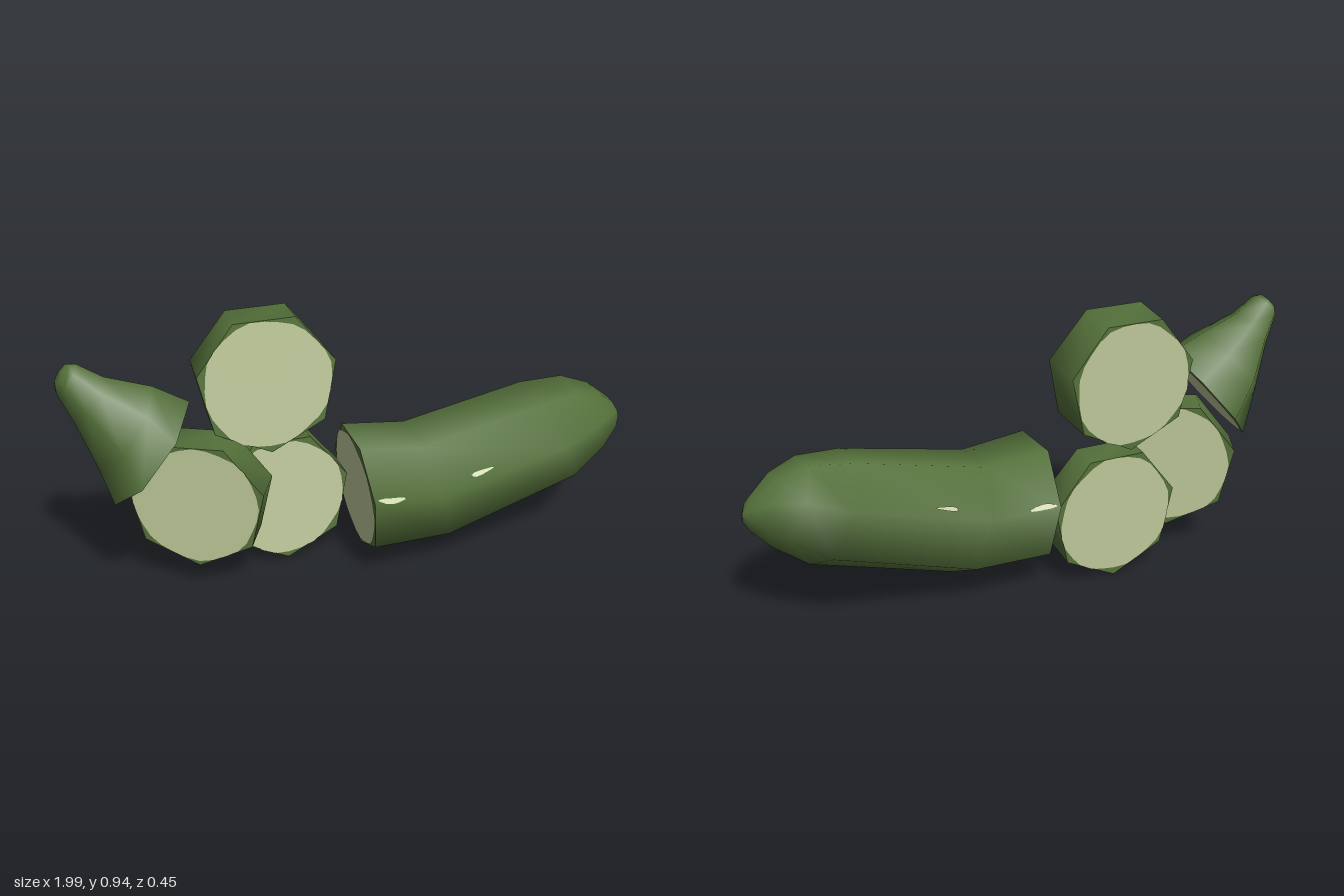
import * as THREE from 'three';

const SIDES = 7;
const V = (x, y, z) => new THREE.Vector3(x, y, z);

// One cross-section: centre, axis direction, radius and phase of its first corner (degrees)
function ring(c, n, r, phase = -90) {
  const axis = V(...n).normalize();
  const up = V(0, 1, 0).addScaledVector(axis, -axis.y).normalize();
  const side = axis.clone().cross(up);
  return { c: V(...c), axis, up, side, r, phase: THREE.MathUtils.degToRad(phase) };
}

function polar(g, angle, r) {
  return g.c.clone().addScaledVector(g.side, Math.cos(angle) * r).addScaledVector(g.up, Math.sin(angle) * r);
}

const corner = (g, j, lift = 0) => polar(g, g.phase + (j * 2 * Math.PI) / SIDES, g.r + lift);

function makeGeometry(points, index) {
  const geo = new THREE.BufferGeometry().setFromPoints(points);
  geo.setIndex(index);
  geo.computeVertexNormals();
  return geo;
}

// Smooth skin running through the rings, open at both ends
function skinGeometry(rings) {
  const points = [], index = [];
  rings.forEach((g, i) => {
    for (let j = 0; j < SIDES; j++) {
      points.push(corner(g, j));
      if (i === rings.length - 1) continue;
      const k = (j + 1) % SIDES, a = i * SIDES, b = a + SIDES;
      index.push(a + j, b + j, a + k, b + j, b + k, a + k);
    }
  });
  return makeGeometry(points, index);
}

// Triangle fan around a centre point
function fanGeometry(centre, rim, flip) {
  const index = [], n = rim.length;
  for (let i = 0; i < n; i++) {
    const a = i + 1, b = ((i + 1) % n) + 1;
    index.push(0, flip ? b : a, flip ? a : b);
  }
  return makeGeometry([centre, ...rim], index);
}

export function createModel() {
  const model = new THREE.Group();
  model.name = 'slicedVegetable';
  const skin = new THREE.MeshStandardMaterial({ color: 0x54703a });
  skin.name = 'greenSkin';
  const flesh = new THREE.MeshStandardMaterial({ color: 0xbdc799 });
  flesh.name = 'paleFlesh';

  const add = (parent, name, geo, mat) => {
    const mesh = new THREE.Mesh(geo, mat);
    mesh.name = name;
    parent.add(mesh);
  };
  const addGroup = (name) => {
    const group = new THREE.Group();
    group.name = name;
    model.add(group);
    return group;
  };

  // Cut end: green rim polygon with a slightly uneven flesh disc; dir is +1 or -1 along the axis
  function addCut(parent, name, g, dir, seed) {
    const rim = [], disc = [];
    for (let j = 0; j < SIDES; j++) rim.push(corner(g, j));
    add(parent, name + 'Rim', fanGeometry(g.c.clone(), rim, dir > 0), skin);
    const lift = g.axis.clone().multiplyScalar(dir * 0.003);
    for (let i = 0; i < 28; i++) {
      const t = (i / 28) * 2 * Math.PI;
      const wobble = 0.9 + 0.015 * Math.sin(3 * t + seed) + 0.012 * Math.sin(8 * t + seed * 2);
      disc.push(polar(g, t, g.r * wobble).add(lift));
    }
    add(parent, name + 'Flesh', fanGeometry(g.c.clone().add(lift), disc, dir > 0), flesh);
  }

  // Long curved piece
  const bodyRings = [
    [-0.01, 0.279, 5, 0.23], [0.247, 0.268, 14, 0.22], [0.716, 0.39, 25, 0.2],
    [0.852, 0.44, 26, 0.155], [0.933, 0.454, 28, 0.1], [0.982, 0.44, 25, 0.045], [0.999, 0.425, 20, 0.001],
  ].map(([x, y, deg, r], i) => {
    const t = THREE.MathUtils.degToRad(deg);
    return ring([x, y, 0], [Math.cos(t), Math.sin(t), 0], r, -90 - Math.min(i * 2.5, 8));
  });
  const body = addGroup('longPiece');
  add(body, 'longSkin', skinGeometry(bodyRings), skin);
  addCut(body, 'longCut', bodyRings[0], -1, 1);

  // Point on the skin of the long piece: u along the rings, j around the corners
  function onBody(u, j) {
    const i = Math.floor(u), k = Math.floor(j), lift = 0.004;
    const at = (g) => corner(g, k, lift).lerp(corner(g, k + 1, lift), j - k);
    return at(bodyRings[i]).lerp(at(bodyRings[i + 1]), u - i);
  }

  // Pale scuffs on both flanks
  for (const [u, j, du, dj] of [[0.25, 2.07, 0.22, 0.06], [1.33, 2.2, 0.1, 0.05]]) {
    for (const around of [j, SIDES - j]) {
      const rim = [];
      for (let i = 0; i < 12; i++) {
        const t = (i / 12) * 2 * Math.PI;
        const s = 0.85 + 0.15 * Math.sin(3 * t + u);
        rim.push(onBody(u + du * s * Math.cos(t), around + dj * s * Math.sin(t)));
      }
      add(body, 'scuff', fanGeometry(onBody(u, around), rim, false), flesh);
    }
  }

  // Three thick slices: back ring, then front ring
  const slices = {
    upperSlice: [ring([-0.3, 0.71, -0.19], [0, 0, 1], 0.237), ring([-0.31, 0.722, -0.005], [0, 0.1, 0.995], 0.242)],
    lowerSlice: [ring([-0.245, 0.24, -0.19], [0, 0, 1], 0.237), ring([-0.25, 0.252, -0.06], [0, 0.1, 0.995], 0.235)],
    leaningSlice: [ring([-0.52, 0.335, -0.09], [-0.45, 0, 0.89], 0.238), ring([-0.583, 0.335, 0.035], [-0.45, 0, 0.89], 0.238)],
  };
  Object.entries(slices).forEach(([name, rings], i) => {
    const group = addGroup(name);
    add(group, name + 'Skin', skinGeometry(rings), skin);
    addCut(group, name + 'Back', rings[0], -1, i + 2);
    addCut(group, name + 'Front', rings[1], 1, i + 5);
  });

  // Tapered stem end
  const stemRings = [
    [-0.968, 0.864, 0.001], [-0.965, 0.858, 0.04], [-0.955, 0.843, 0.057],
    [-0.895, 0.765, 0.087], [-0.795, 0.655, 0.16], [-0.714, 0.553, 0.212],
  ].map(([x, y, r], i) => ring([x, y, 0], [0.75, -0.65, i === 5 ? 0.12 : 0], r, 90));
  const stem = addGroup('stemEnd');
  add(stem, 'stemSkin', skinGeometry(stemRings), skin);
  addCut(stem, 'stemCut', stemRings[5], 1, 9);

  return model;
}
